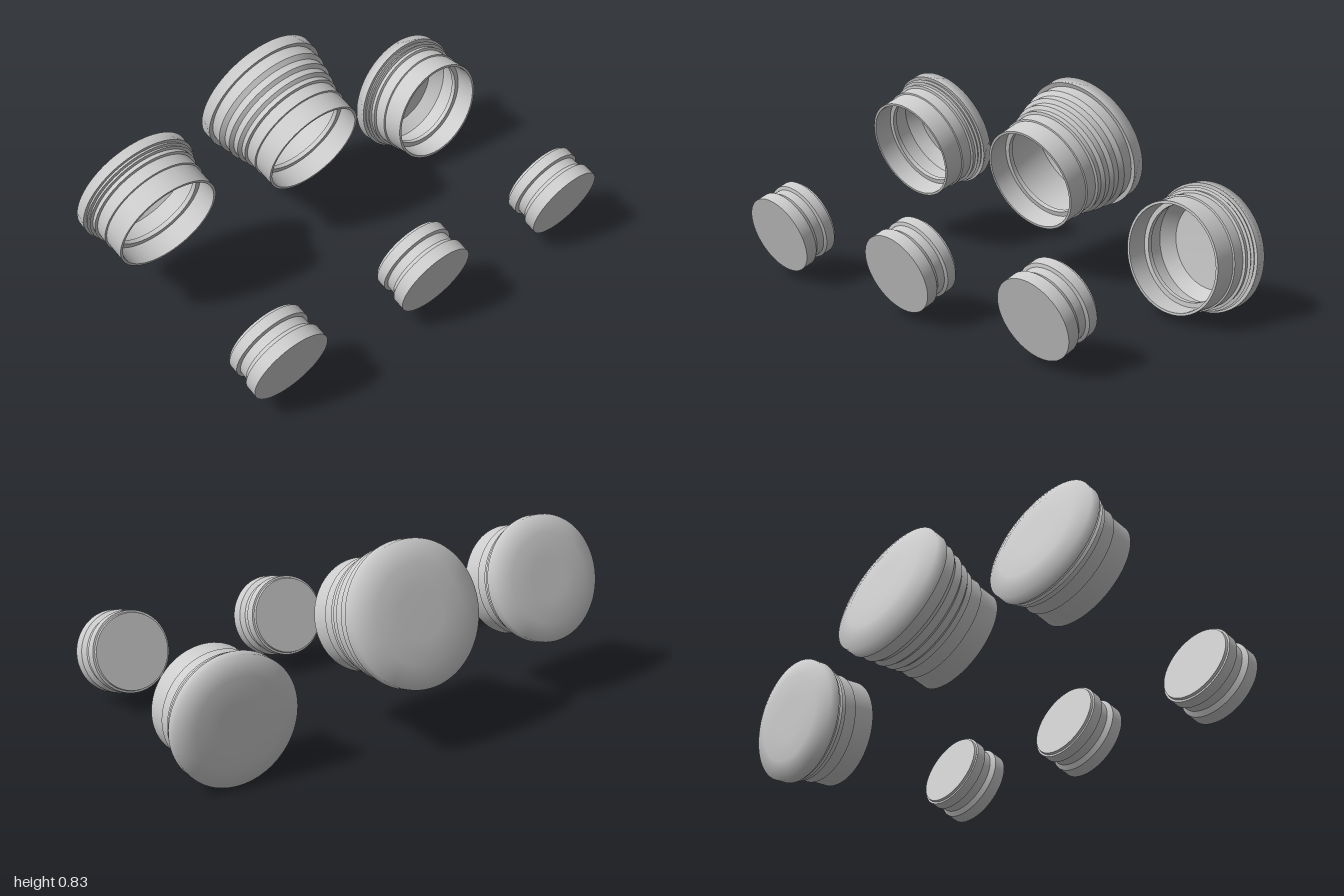
import * as THREE from 'three';
import { toCreasedNormals } from 'three/addons/utils/BufferGeometryUtils.js';

const SEGMENTS = 96;
const TILT = -Math.PI * 0.6; // axis points to +x and slightly down
const LEVEL = -Math.PI / 2; // axis points straight to +x

// profile points are [radius, distance along the axis], the open end is at 0
function turned(profile, name, material, smooth = false) {
  const points = profile.map(([r, u]) => new THREE.Vector2(r, u));
  let geometry = new THREE.LatheGeometry(points, SEGMENTS);
  if (!smooth) geometry = toCreasedNormals(geometry, 0.4);
  const mesh = new THREE.Mesh(geometry, material);
  mesh.name = name;
  return mesh;
}

function place(group, name, x, y, z, angle) {
  group.name = name;
  group.position.set(x, y, z);
  group.rotation.z = angle;
  return group;
}

// Shallow cup: broad cap, fine ridges, plain collar
const smallCap = [[0, -0.264], [0.09, -0.264], [0.185, -0.263], [0.261, -0.239], [0.261, -0.196]];
const smallShell = [
  [0.261, -0.196], [0.247, -0.196], [0.253, -0.185], [0.241, -0.182],
  [0.249, -0.170], [0.237, -0.167], [0.241, -0.149], [0.230, -0.146],
  [0.233, -0.093], [0.2265, -0.091], [0.2265, 0],
  [0.216, 0], [0.216, -0.09], [0.196, -0.09], [0.196, -0.11],
  [0.216, -0.11], [0.222, -0.19], [0.18, -0.24], [0, -0.246],
];

// Deep cup: larger cap and a stepped taper down to the same collar
const largeCap = [[0, -0.406], [0.1, -0.406], [0.197, -0.404], [0.288, -0.378], [0.288, -0.326]];
const largeShell = [
  [0.288, -0.326], [0.269, -0.328], [0.275, -0.276], [0.260, -0.257],
  [0.264, -0.225], [0.249, -0.212], [0.252, -0.184], [0.238, -0.172],
  [0.241, -0.150], [0.230, -0.146], [0.233, -0.093], [0.2265, -0.091], [0.2265, 0],
  [0.216, 0], [0.216, -0.09], [0.196, -0.09], [0.196, -0.11],
  [0.216, -0.11], [0.25, -0.32], [0.20, -0.38], [0, -0.388],
];

// Solid plug with a groove round the middle
const plugProfile = [
  [0, -0.169], [0.158, -0.169], [0.160, -0.158], [0.168, -0.157], [0.168, -0.114],
  [0.154, -0.109], [0.156, -0.071], [0.171, -0.052], [0.171, 0], [0, 0],
];

export function createModel() {
  const model = new THREE.Group();
  model.name = 'cupsAndPlugs';
  const grey = new THREE.MeshStandardMaterial({ color: 0xcccccc });
  grey.name = 'plain grey';

  function cup(cap, shell) {
    const group = new THREE.Group();
    group.add(turned(cap, 'cap', grey, true), turned(shell, 'shell', grey));
    return group;
  }

  model.add(
    place(cup(smallCap, smallShell), 'frontCup', -0.17, 0.437, 0.739, TILT),
    place(cup(largeCap, largeShell), 'middleCup', -0.17, 0.437, 0, TILT),
    place(cup(smallCap, smallShell), 'backCup', -0.201, 0.261, -0.739, LEVEL),
  );

  // One plug beside each cup
  [['frontPlug', 0.739], ['middlePlug', 0], ['backPlug', -0.739]].forEach(([name, z]) => {
    model.add(place(turned(plugProfile, name, grey), name, 0.5585, 0.198, z, TILT));
  });
  return model;
}
